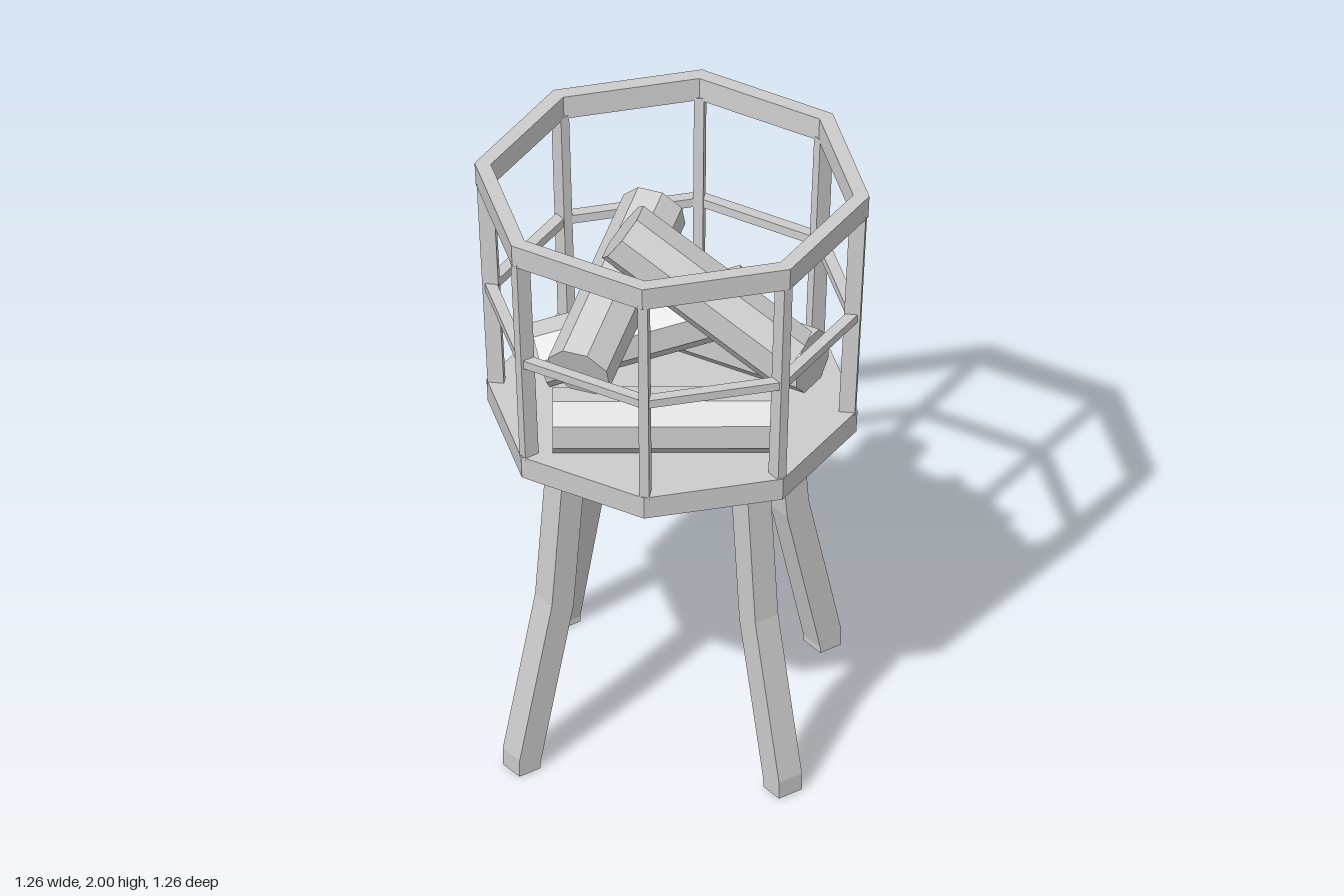
import * as THREE from 'three';

const material = new THREE.MeshStandardMaterial({ color: 0xcccccc, flatShading: true });

function part(name, geometry) {
  const mesh = new THREE.Mesh(geometry, material);
  mesh.name = name;
  return mesh;
}

// Outer corner radius of the flared octagonal basket at height y
const radiusAt = (y) => 0.59 + 0.042 * (y - 1.1) / 0.9;

// Eight-sided ring of rectangular section that follows the flare
function ring(name, y0, y1, depth, inset = 0) {
  const r0 = radiusAt(y0) - inset, r1 = radiusAt(y1) - inset;
  const profile = [[r0 - depth, y0], [r0, y0], [r1, y1], [r1 - depth, y1], [r0 - depth, y0]];
  return part(name, new THREE.LatheGeometry(profile.map(([r, y]) => new THREE.Vector2(r, y)), 8));
}

// Corner post leaning outward along the flare
function post(angle) {
  const y0 = 1.17, y1 = 1.93, depth = 0.052;
  const geometry = new THREE.BoxGeometry(0.032, y1 - y0, depth);
  geometry.translate(0, (y0 + y1) / 2, 0);
  const p = geometry.attributes.position;
  for (let i = 0; i < p.count; i++) {
    p.setZ(i, p.getZ(i) + radiusAt(p.getY(i)) - 0.006 - depth / 2);
  }
  const mesh = part('cornerPost', geometry);
  mesh.rotation.y = angle;
  return mesh;
}

// Bent leg: side outline in (radius, height), extruded to its width
function leg(angle) {
  const outline = [
    [0.55, 0], [0.632, 0], [0.632, 0.06], [0.505, 0.6],
    [0.46, 1.11], [0.37, 1.11], [0.42, 0.57], [0.55, 0.02],
  ];
  const width = 0.09;
  const shape = new THREE.Shape(outline.map(([r, y]) => new THREE.Vector2(r, y)));
  const geometry = new THREE.ExtrudeGeometry(shape, { depth: width, bevelEnabled: false });
  geometry.translate(0, 0, -width / 2);
  const mesh = part('leg', geometry);
  mesh.rotation.y = angle;
  return mesh;
}

// Octagonal log between two end centres
function log(from, to) {
  const a = new THREE.Vector3(...from), b = new THREE.Vector3(...to);
  const geometry = new THREE.CylinderGeometry(0.108, 0.108, a.distanceTo(b), 8);
  geometry.rotateY(Math.PI / 8).rotateX(Math.PI / 2);
  const mesh = part('log', geometry);
  mesh.position.copy(a).lerp(b, 0.5);
  mesh.lookAt(b);
  return mesh;
}

export function createModel() {
  const model = new THREE.Group();
  model.name = 'fireBasket';

  // Basket
  const basket = new THREE.Group();
  basket.name = 'basket';
  const floor = part('basketFloor', new THREE.CylinderGeometry(radiusAt(1.18), radiusAt(1.1), 0.08, 8));
  floor.position.y = 1.14;
  basket.add(floor, ring('topRim', 1.92, 2, 0.052), ring('middleRail', 1.525, 1.555, 0.04, 0.008));
  for (let i = 0; i < 8; i++) basket.add(post(i * Math.PI / 4));
  model.add(basket);

  // Legs
  const legs = new THREE.Group();
  legs.name = 'legs';
  for (let i = 0; i < 4; i++) legs.add(leg(i * Math.PI / 2));
  model.add(legs);

  // Stacked logs
  const logs = new THREE.Group();
  logs.name = 'logs';
  const ends = [
    [[-0.47, 1.27, 0], [0.09, 1.27, 0.41]],
    [[0.12, 1.27, -0.42], [0.39, 1.27, 0.22]],
    [[-0.29, 1.28, -0.31], [0.28, 1.46, 0.035]],
    [[-0.41, 1.46, 0.06], [0.13, 1.69, -0.27]],
    [[-0.12, 1.795, -0.1], [0.225, 1.41, 0.33]],
  ];
  for (const [from, to] of ends) logs.add(log(from, to));
  model.add(logs);

  return model;
}
